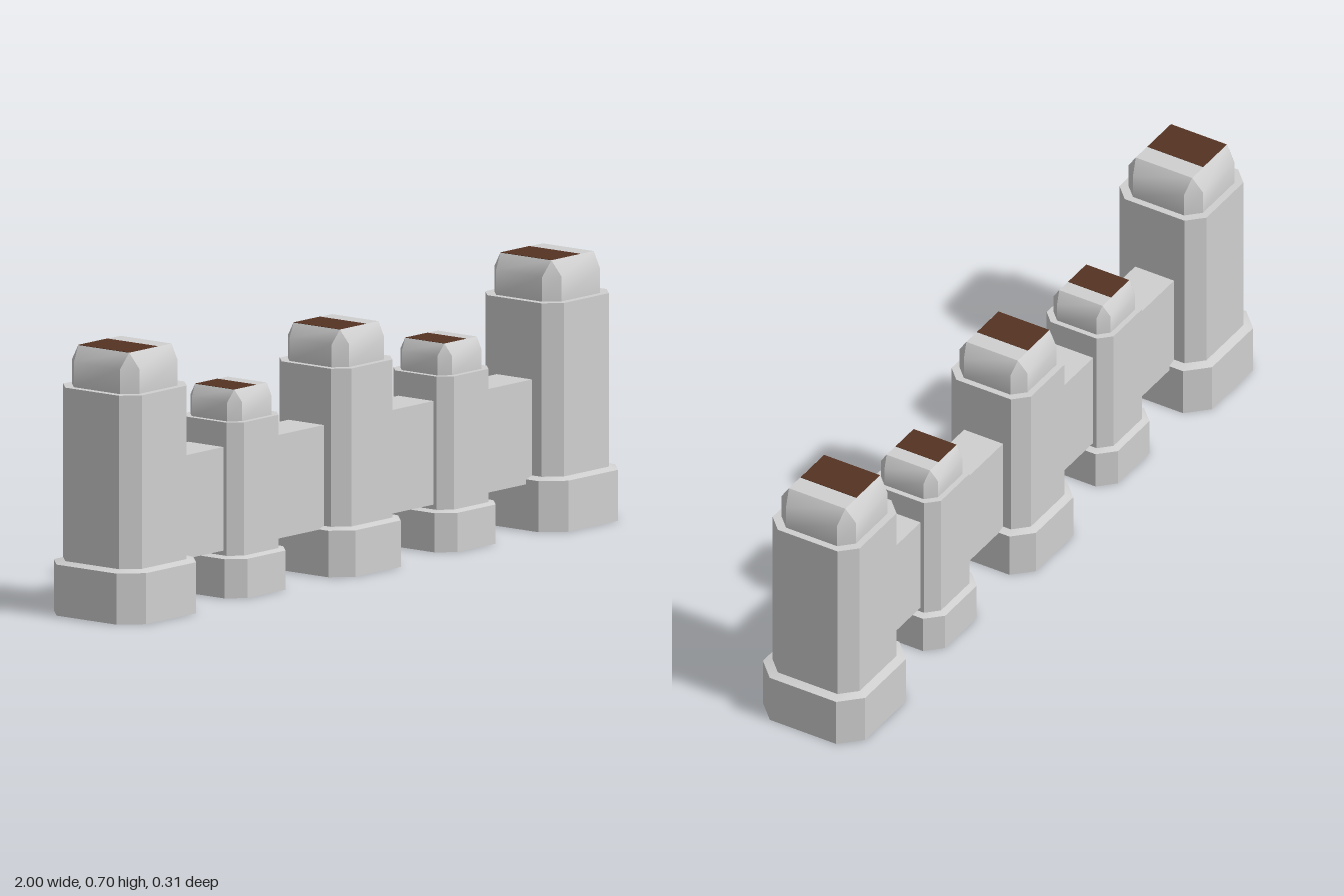
import * as THREE from 'three';
import { toCreasedNormals } from 'three/addons/utils/BufferGeometryUtils.js';

const stone = new THREE.MeshStandardMaterial({ color: 0xd0d0d0, side: THREE.DoubleSide });
stone.name = 'paleStone';
const brown = new THREE.MeshStandardMaterial({ color: 0x553322 });
brown.name = 'darkBrown';

// Square outline with cut corners: h = half width, f = half length of the flat side
const outline = (y, h, f) => [
  [f, h], [h, f], [h, -f], [f, -h], [-f, -h], [-h, -f], [-h, f], [-f, h],
].map(([x, z]) => new THREE.Vector3(x, y, z));

// Skin between successive outlines, optionally closed on top
function loft(sections, closed) {
  const rings = sections.map((s) => outline(...s));
  const pos = [];
  const tri = (a, b, c) => {
    if (new THREE.Triangle(a, b, c).getArea() < 1e-8) return;
    for (const p of [a, b, c]) pos.push(p.x, p.y, p.z);
  };
  for (let r = 0; r + 1 < rings.length; r++) {
    const lo = rings[r], hi = rings[r + 1];
    for (let i = 0; i < 8; i++) {
      const j = (i + 1) % 8;
      tri(lo[i], lo[j], hi[j]);
      tri(lo[i], hi[j], hi[i]);
    }
  }
  if (closed) {
    const top = rings[rings.length - 1];
    for (let i = 1; i < 7; i++) tri(top[0], top[i], top[i + 1]);
  }
  const geo = new THREE.BufferGeometry();
  geo.setAttribute('position', new THREE.Float32BufferAttribute(pos, 3));
  return toCreasedNormals(geo, 0.7);
}

// Base with a sloped shoulder, open underneath
const baseGeo = loft([[0, 0.154, 0.1], [0.133, 0.154, 0.1], [0.14, 0.131, 0.09]]);
// Shaft with a flat ledge around the cap
const shaftGeo = loft([[0.14, 0.131, 0.09], [0.592, 0.131, 0.09], [0.592, 0.112, 0.077]]);
// Cap tapering to a square top
const capGeo = loft([[0.592, 0.112, 0.077], [0.657, 0.112, 0.077], [0.697, 0.085, 0.085]], true);
// Painted panel on part of the top
const panelGeo = new THREE.BoxGeometry(0.115, 0.002, 0.168).translate(-0.0275, 0.697, 0);

function part(name, geometry, material) {
  const mesh = new THREE.Mesh(geometry, material);
  mesh.name = name;
  return mesh;
}

function pillar(name, x, scale) {
  const g = new THREE.Group();
  g.name = name;
  g.add(
    part('base', baseGeo, stone),
    part('shaft', shaftGeo, stone),
    part('cap', capGeo, stone),
    part('topPanel', panelGeo, brown),
  );
  g.position.x = x;
  g.scale.setScalar(scale);
  return g;
}

export function createModel() {
  const model = new THREE.Group();
  model.name = 'pillarWall';

  model.add(pillar('centrePillar', 0, 0.911));
  for (const [side, s] of [['left', 1], ['right', -1]]) {
    model.add(pillar(side + 'InnerPillar', s * 0.421, 0.768));
    model.add(pillar(side + 'OuterPillar', s * 0.846, 1));

    // Wall panels between neighbouring pillars
    for (const [name, from, to] of [['InnerWall', 0.1, 0.34], ['OuterWall', 0.5, 0.74]]) {
      const wall = part(side + name, new THREE.BoxGeometry(to - from, 0.27, 0.117), stone);
      wall.position.set(s * (from + to) / 2, 0.255, 0);
      model.add(wall);
    }
  }
  return model;
}
